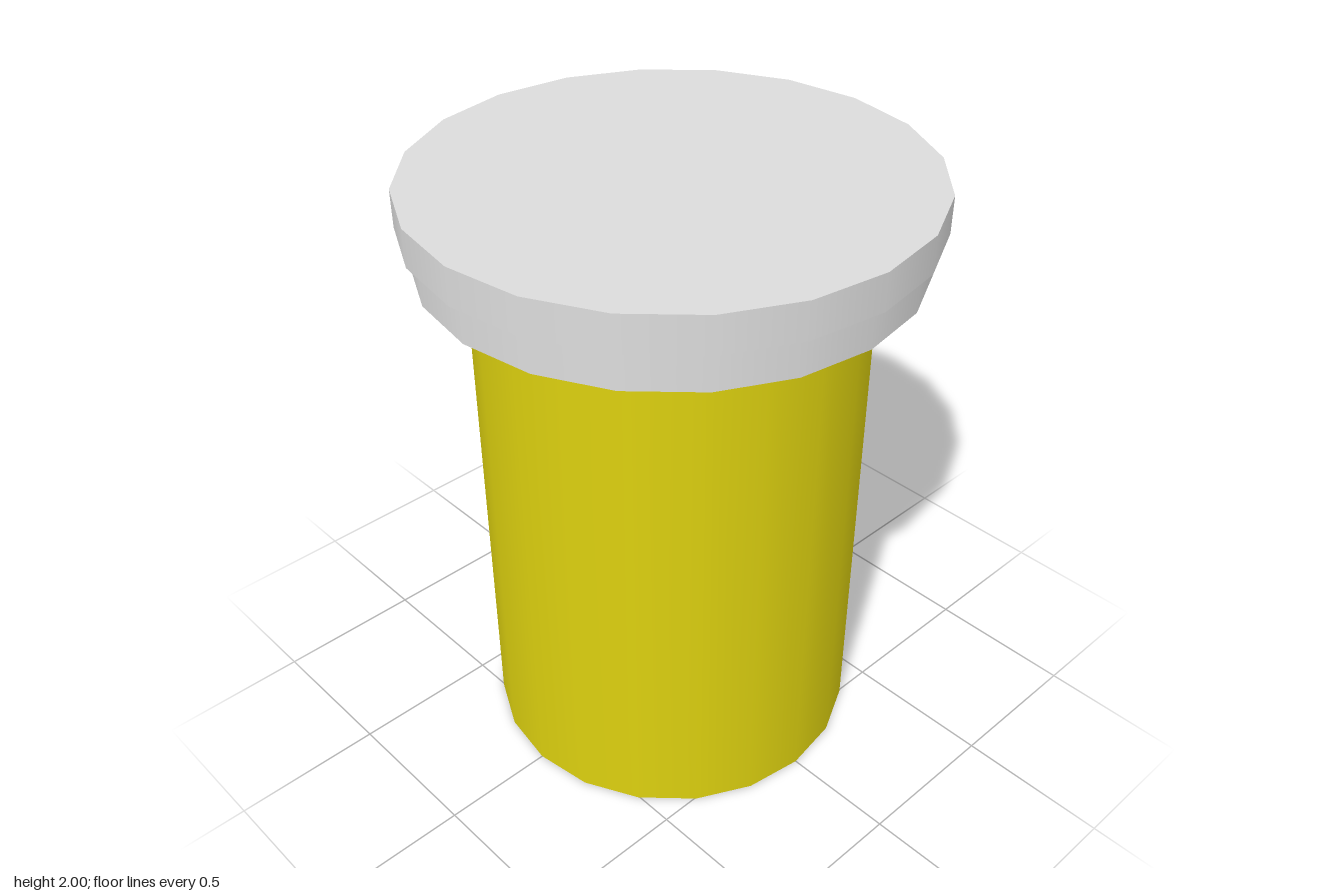
import * as THREE from 'three';
import { mergeGeometries } from 'three/addons/utils/BufferGeometryUtils.js';

const SIDES = 20;

// Revolves a profile with one band per segment, so walls are smooth and rims stay sharp
function turned(name, profile, material) {
  const bands = [];
  for (let i = 0; i < profile.length - 1; i++) {
    const ends = [profile[i], profile[i + 1]].map(([r, y]) => new THREE.Vector2(r, y));
    bands.push(new THREE.LatheGeometry(ends, SIDES));
  }
  const mesh = new THREE.Mesh(mergeGeometries(bands), material);
  mesh.name = name;
  return mesh;
}

export function createModel() {
  const yellow = new THREE.MeshStandardMaterial({ name: 'yellow', color: 0xdcd00f });
  const grey = new THREE.MeshStandardMaterial({ name: 'lightGrey', color: 0xdcdcdc });

  const jar = new THREE.Group();
  jar.name = 'jar';

  // Closed cylindrical body, reaching up inside the lid
  jar.add(turned('body', [[0, 0], [0.623, 0], [0.623, 1.87], [0, 1.87]], yellow));

  // Hollow lid: inner ceiling, inner wall, skirt, overhanging top disc
  jar.add(turned('lid', [
    [0, 1.88], [0.66, 1.88], [0.66, 1.75], [0.78, 1.75],
    [0.78, 1.88], [0.813, 1.88], [0.813, 2], [0, 2],
  ], grey));

  return jar;
}
